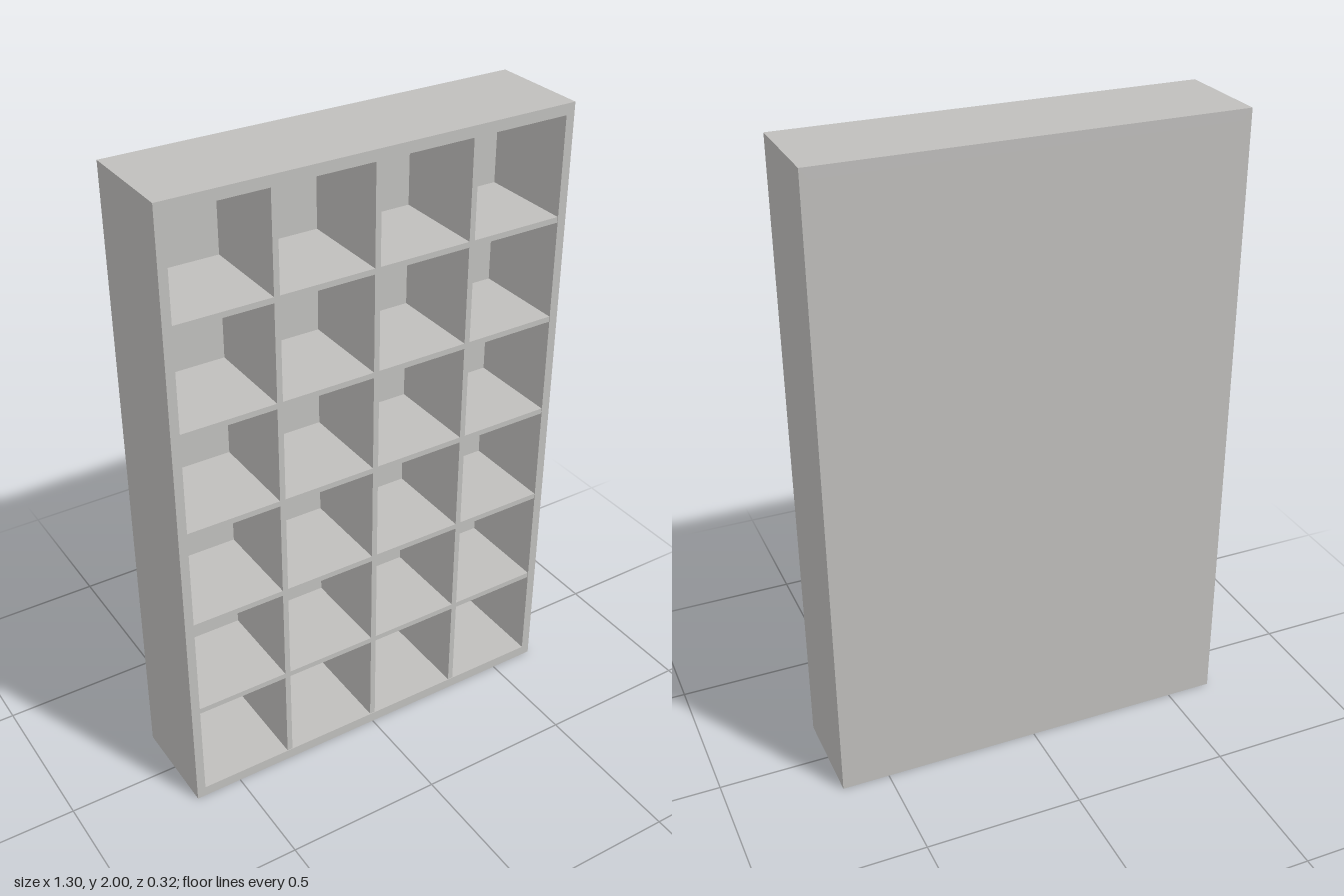
import * as THREE from 'three';

const W = 1.3, H = 2, D = 0.32;            // outer size
const SIDE = 0.028, RAIL = 0.034;          // frame thickness: sides, top and bottom
const BACK = 0.015, BOARD = 0.018;         // back panel and inner boards
const COLS = 4, ROWS = 6;

export function createModel() {
  const group = new THREE.Group();
  group.name = 'cubbyShelf';
  const grey = new THREE.MeshStandardMaterial({ color: 0xc0bfbd });
  grey.name = 'light grey';

  const add = (name, geometry, x, y, z) => {
    const mesh = new THREE.Mesh(geometry, grey);
    mesh.name = name;
    mesh.position.set(x, y, z);
    group.add(mesh);
  };

  // Outer frame: a rectangle with one opening, extruded in front of the back panel
  const frame = new THREE.Shape([
    new THREE.Vector2(-W / 2, 0), new THREE.Vector2(W / 2, 0),
    new THREE.Vector2(W / 2, H), new THREE.Vector2(-W / 2, H),
  ]);
  const x0 = W / 2 - SIDE;
  frame.holes.push(new THREE.Path([
    new THREE.Vector2(-x0, RAIL), new THREE.Vector2(-x0, H - RAIL),
    new THREE.Vector2(x0, H - RAIL), new THREE.Vector2(x0, RAIL),
  ]));
  add('outerFrame', new THREE.ExtrudeGeometry(frame, { depth: D, bevelEnabled: false }), 0, 0, -D / 2);

  // Back panel fills the opening at the rear
  const innerW = W - 2 * SIDE, innerH = H - 2 * RAIL;
  add('backPanel', new THREE.BoxGeometry(innerW, innerH, BACK), 0, H / 2, -D / 2 + BACK / 2);

  // Upright dividers and the shelf boards between them
  const depth = D - BACK - 0.002;
  const z = -D / 2 + BACK + depth / 2;
  const cellW = (innerW - (COLS - 1) * BOARD) / COLS;
  const cellH = (innerH - (ROWS - 1) * BOARD) / ROWS;
  for (let c = 0; c < COLS; c++) {
    const left = -innerW / 2 + c * (cellW + BOARD);
    if (c > 0) add('divider', new THREE.BoxGeometry(BOARD, innerH, depth), left - BOARD / 2, H / 2, z);
    for (let r = 1; r < ROWS; r++) {
      const y = RAIL + r * (cellH + BOARD) - BOARD / 2;
      add('shelf', new THREE.BoxGeometry(cellW, BOARD, depth), left + cellW / 2, y, z);
    }
  }
  return group;
}
